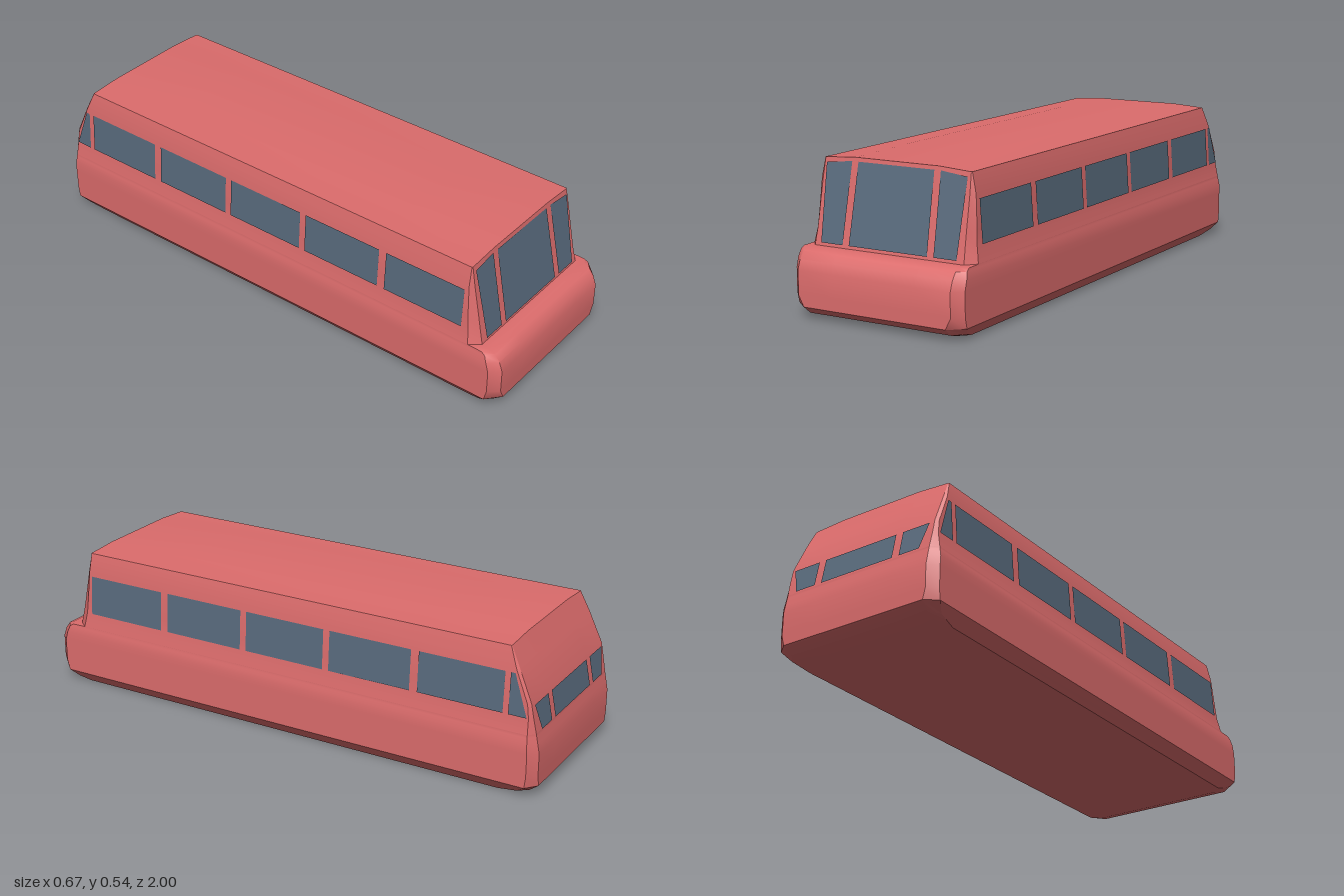
import * as THREE from 'three';
import { toCreasedNormals } from 'three/addons/utils/BufferGeometryUtils.js';

const paint = new THREE.MeshStandardMaterial({ color: 0xdc6c6c });
paint.name = 'red paint';
const glass = new THREE.MeshStandardMaterial({ color: 0x596b7d, side: THREE.DoubleSide });
glass.name = 'blue grey glass';

// Horizontal sections: y, half width, front face half width, side front z, front z,
// back face half width, side back z, back z
const LEVELS = [
  [0, 0.3, 0.27, 0.88, 0.91, 0.275, -0.855, -0.88],
  [0.015, 0.312, 0.28, 0.925, 0.965, 0.285, -0.93, -0.965],
  [0.042, 0.333, 0.28, 0.955, 1, 0.29, -0.965, -1],
  [0.08, 0.333, 0.3, 0.965, 1, 0.3, -0.97, -1],
  [0.165, 0.333, 0.3, 0.965, 1, 0.3, -0.97, -1],
  [0.2, 0.333, 0.3, 0.955, 0.987, 0.3, -0.968, -0.993],
  [0.225, 0.328, 0.3, 0.945, 0.968, 0.3, -0.966, -0.988],
  [0.234, 0.326, 0.3, 0.93, 0.945, 0.3, -0.965, -0.986],
  [0.235, 0.326, 0.295, 0.875, 0.912, 0.3, -0.965, -0.986],
  [0.29, 0.316, 0.292, 0.866, 0.899, 0.303, -0.962, -0.975],
  [0.34, 0.313, 0.291, 0.861, 0.889, 0.303, -0.955, -0.965],
  [0.455, 0.305, 0.29, 0.853, 0.866, 0.295, -0.906, -0.914],
  [0.525, 0.29, 0.287, 0.85, 0.852, 0.287, -0.878, -0.88],
];
const COWL = 8;
const MID = 0.165; // where the roof arch flattens

// Interpolates one column of the sections at height y
function at(y, column) {
  let k = COWL;
  while (k < LEVELS.length - 2 && LEVELS[k + 1][0] < y) k++;
  const a = LEVELS[k], b = LEVELS[k + 1];
  return a[column] + (b[column] - a[column]) * (y - a[0]) / (b[0] - a[0]);
}

// Twelve points round one section; the top one rises towards the middle
function ring(level) {
  const [y, w, fx, zsf, zf, bx, zsb, zb] = level;
  const ym = level === LEVELS[LEVELS.length - 1] ? y + 0.008 : y;
  return [
    [fx, y, zf], [MID, ym, zf], [-MID, ym, zf], [-fx, y, zf], [-w, y, zsf], [-w, y, zsb],
    [-bx, y, zb], [-MID, ym, zb], [MID, ym, zb], [bx, y, zb], [w, y, zsb], [w, y, zsf],
  ];
}

function quad(out, a, b, c, d) {
  out.push(...a, ...b, ...c, ...a, ...c, ...d);
}

function geometryFrom(points) {
  const g = new THREE.BufferGeometry();
  g.setAttribute('position', new THREE.Float32BufferAttribute(points, 3));
  g.computeVertexNormals();
  return g;
}

function addMesh(group, name, geometry, material) {
  const mesh = new THREE.Mesh(geometry, material);
  mesh.name = name;
  group.add(mesh);
}

// Skin between a run of sections
function walls(out, from, to) {
  for (let k = from; k < to; k++) {
    const lo = ring(LEVELS[k]), hi = ring(LEVELS[k + 1]);
    for (let i = 0; i < 12; i++) {
      const j = (i + 1) % 12;
      quad(out, lo[i], hi[i], hi[j], lo[j]);
    }
  }
}

// Pairs of front and back points that span a section lengthwise
const SPANS = [[11, 10], [0, 9], [1, 8], [2, 7], [3, 6], [4, 5]];

function pane(group, name, corners) {
  const out = [];
  quad(out, ...corners);
  addMesh(group, name, geometryFrom(out), glass);
}

export function createModel() {
  const model = new THREE.Group();
  model.name = 'bus';

  // Lower body with floor and rounded nose
  const lower = [];
  walls(lower, 0, COWL);
  const floor = ring(LEVELS[0]);
  for (let s = 0; s < 5; s++) {
    const [f, b] = SPANS[s], [f2, b2] = SPANS[s + 1];
    quad(lower, floor[f], floor[f2], floor[b2], floor[b]);
  }
  addMesh(model, 'lowerBody', toCreasedNormals(geometryFrom(lower), 0.6), paint);

  // Cabin walls
  const cabin = [];
  walls(cabin, COWL, LEVELS.length - 1);
  addMesh(model, 'cabin', toCreasedNormals(geometryFrom(cabin), 0.4), paint);

  // Roof, slightly higher along the middle of its length
  const roof = [];
  const top = ring(LEVELS[LEVELS.length - 1]);
  const stations = [[0, 0], [0.2, 0.004], [0.8, 0.004], [1, 0]];
  const roofPoint = ([f, b], [t, rise]) => {
    const p = top[f].map((v, n) => v + (top[b][n] - v) * t);
    if (Math.abs(p[0]) < 0.2) p[1] += rise;
    return p;
  };
  for (let s = 0; s < 5; s++) {
    for (let k = 0; k < 3; k++) {
      quad(roof, roofPoint(SPANS[s], stations[k]), roofPoint(SPANS[s], stations[k + 1]),
        roofPoint(SPANS[s + 1], stations[k + 1]), roofPoint(SPANS[s + 1], stations[k]));
    }
  }
  addMesh(model, 'roof', toCreasedNormals(geometryFrom(roof), 0.4), paint);

  // Panes lie just outside the wall they belong to
  const lift = 0.004;
  const onFront = (x, y) => [x, y, at(y, 4) + lift];
  const onBack = (x, y) => [x, y, at(y, 7) - lift];

  // Windscreen and rear window centres
  pane(model, 'windscreen', [onFront(-0.155, 0.246), onFront(0.155, 0.246),
    onFront(0.15, 0.52), onFront(-0.15, 0.52)]);
  pane(model, 'rearWindow', [onBack(0.15, 0.238), onBack(-0.15, 0.238),
    onBack(-0.15, 0.332), onBack(0.15, 0.332)]);

  // Side windows: front z and back z at the bottom, then at the top
  const sidePanes = [
    [0.84, 0.52, 0.84, 0.52], [0.49, 0.17, 0.49, 0.17], [0.145, -0.175, 0.145, -0.175],
    [-0.2, -0.52, -0.2, -0.52], [-0.55, -0.87, -0.55, -0.87], [-0.89, -0.957, -0.89, -0.906],
  ];
  for (const side of [1, -1]) {
    const label = side > 0 ? 'left' : 'right';
    const onSide = (y, z) => [side * (at(y, 1) + lift), y, z];
    // Reversing the corners on the mirrored side keeps the panes facing out
    const facing = (c) => (side > 0 ? c : c.reverse());
    sidePanes.forEach(([f0, b0, f1, b1], n) => {
      pane(model, `${label}SideWindow${n + 1}`,
        facing([onSide(0.292, f0), onSide(0.292, b0), onSide(0.44, b1), onSide(0.44, f1)]));
    });
    pane(model, `${label}WindscreenWing`, facing([
      onFront(side * 0.18, 0.246), onFront(side * 0.268, 0.246),
      onFront(side * 0.278, 0.509), onFront(side * 0.175, 0.52)]));
    pane(model, `${label}RearWing`, facing([
      onBack(side * 0.26, 0.238), onBack(side * 0.178, 0.238),
      onBack(side * 0.178, 0.332), onBack(side * 0.287, 0.332)]));
  }
  return model;
}
